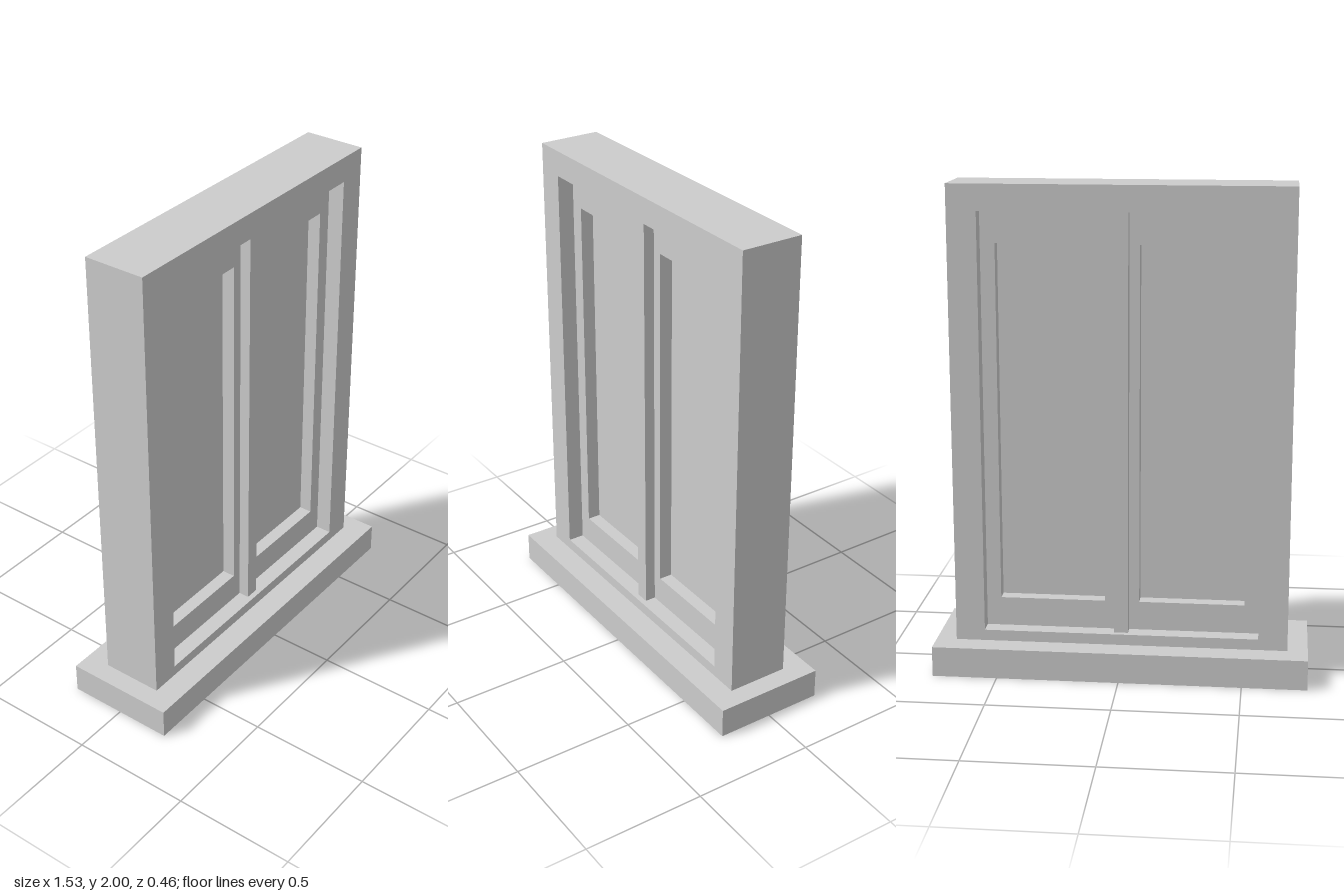
import * as THREE from 'three';

export function createModel() {
  const group = new THREE.Group();
  const paint = new THREE.MeshStandardMaterial({ color: 0xcccccc });
  paint.name = 'light grey paint';

  const add = (name, geometry) => {
    const mesh = new THREE.Mesh(geometry, paint);
    mesh.name = name;
    group.add(mesh);
  };

  // Box given by its x and y extents, centred on z = 0
  const box = (name, x0, x1, y0, y1, depth) => {
    const g = new THREE.BoxGeometry(x1 - x0, y1 - y0, depth);
    g.translate((x0 + x1) / 2, (y0 + y1) / 2, 0);
    add(name, g);
  };

  // Rectangular border with an opening, centred on z = 0
  const trace = (path, [x0, x1, y0, y1]) =>
    path.moveTo(x0, y0).lineTo(x1, y0).lineTo(x1, y1).lineTo(x0, y1).closePath();
  const border = (name, outer, inner, depth) => {
    const shape = new THREE.Shape();
    trace(shape, outer);
    const hole = new THREE.Path();
    trace(hole, inner);
    shape.holes.push(hole);
    const g = new THREE.ExtrudeGeometry(shape, { depth, bevelEnabled: false });
    g.translate(0, 0, -depth / 2);
    add(name, g);
  };

  // Sill and outer frame
  box('sill', -0.765, 0.765, 0, 0.125, 0.46);
  border('frame', [-0.682, 0.682, 0.125, 2], [-0.563, 0.563, 0.17, 1.895], 0.256);

  // Central mullion, proud of the sashes on both faces
  box('mullion', -0.029, 0.029, 0.17, 1.895, 0.21);

  // Two mirrored sashes with recessed panes
  for (const side of [-1, 1]) {
    const label = side > 0 ? 'left' : 'right';
    const span = (a, b) => (side > 0 ? [a, b] : [-b, -a]);
    border(label + 'Sash', [...span(0.029, 0.563), 0.17, 1.895],
      [...span(0.071, 0.504), 0.29, 1.762], 0.12);
    box(label + 'Pane', ...span(0.071, 0.504), 0.29, 1.762, 0.01);
  }

  return group;
}
